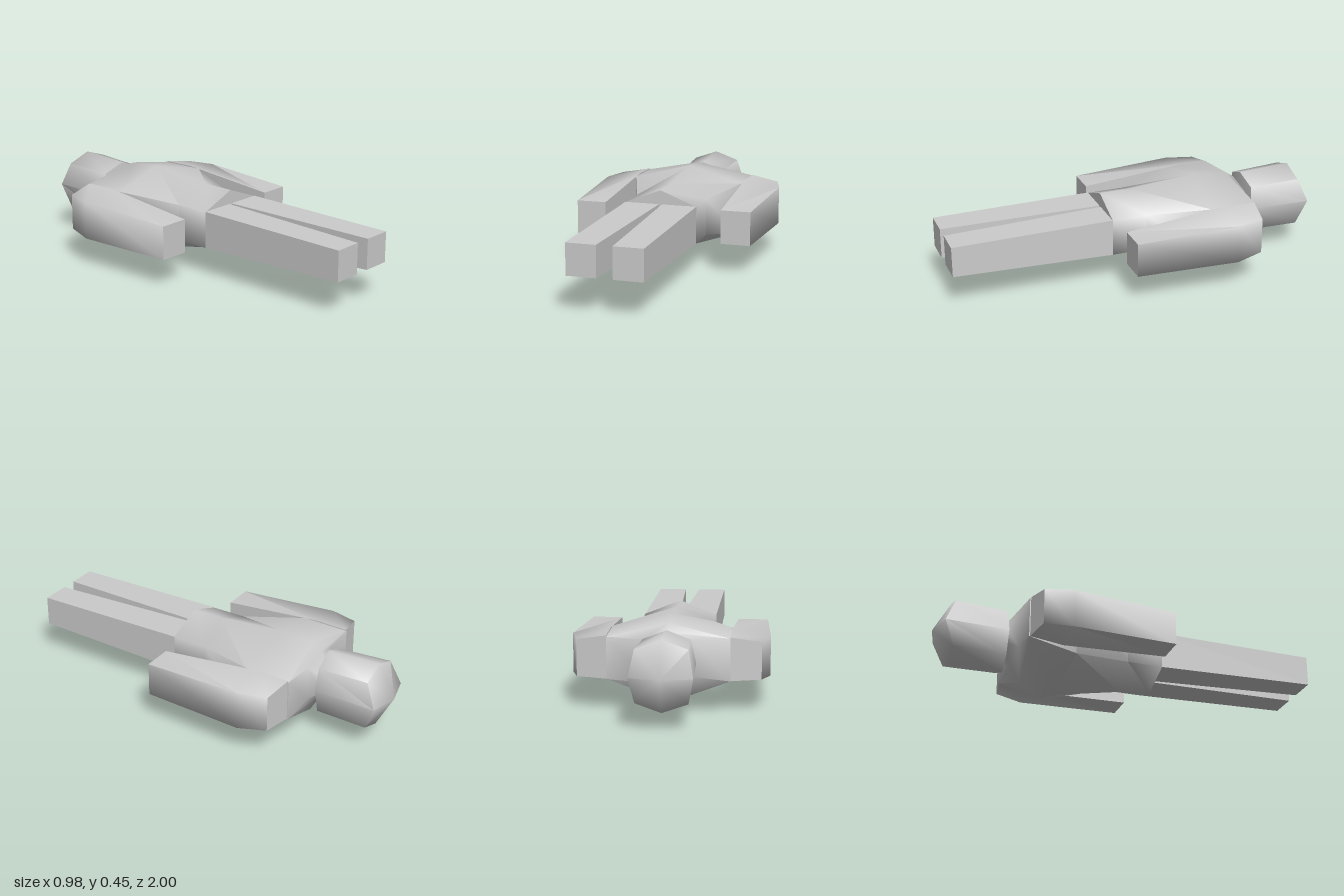
import * as THREE from 'three';
import { mergeGeometries, toCreasedNormals } from 'three/addons/utils/BufferGeometryUtils.js';

const material = new THREE.MeshStandardMaterial({ color: 0xcccccc });

// Non-indexed geometry from a list of triangles
function fromTriangles(tris) {
  const g = new THREE.BufferGeometry();
  g.setAttribute('position', new THREE.Float32BufferAttribute(tris.flat(2), 3));
  g.computeVertexNormals();
  return g;
}

// Skin rings (counter-clockwise seen from +z, running towards -z) and close both ends flat
function loft(name, rings, creaseDegrees) {
  const sides = [], caps = [];
  const n = rings[0].length;
  for (let i = 0; i < rings.length - 1; i++) {
    for (let j = 0; j < n; j++) {
      const k = (j + 1) % n;
      const [a, b, c, d] = [rings[i][j], rings[i][k], rings[i + 1][j], rings[i + 1][k]];
      sides.push([a, c, b], [b, c, d]);
    }
  }
  const first = rings[0], last = rings[rings.length - 1];
  for (let j = 1; j < n - 1; j++) {
    caps.push([first[0], first[j], first[j + 1]], [last[0], last[j + 1], last[j]]);
  }
  const skin = toCreasedNormals(fromTriangles(sides), THREE.MathUtils.degToRad(creaseDegrees));
  const mesh = new THREE.Mesh(mergeGeometries([skin, fromTriangles(caps)]), material);
  mesh.name = name;
  return mesh;
}

// Mirror rings in x, keeping their winding
const mirror = (rings) => rings.map((r) => r.map(([x, y, z]) => [-x, y, z]).reverse());

// Six-sided torso section: side edges at w, ridges along the middle
const torsoRing = (w, zSide, low, high, zMid, bottom, top) => [
  [w, low, zSide], [w, high, zSide], [0, top, zMid],
  [-w, high, zSide], [-w, low, zSide], [0, bottom, zMid],
];

// Eight-sided head section
const headRing = (wSide, zSide, wCorner, zCorner, low, high, zMid, bottom, top) => [
  [wSide, 0.26, zSide], [wCorner, high, zCorner], [0, top, zMid], [-wCorner, high, zCorner],
  [-wSide, 0.26, zSide], [-wCorner, low, zCorner], [0, bottom, zMid], [wCorner, low, zCorner],
];
const point = (y, z) => Array.from({ length: 8 }, () => [0, y, z]);

// Four-sided limb section with separate inner and outer heights
const limbRing = (xIn, zIn, lowIn, highIn, xOut, zOut, lowOut, highOut) => [
  [xIn, lowIn, zIn], [xOut, lowOut, zOut], [xOut, highOut, zOut], [xIn, highIn, zIn],
];

export function createModel() {
  const model = new THREE.Group();
  model.name = 'lyingFigure';

  // Torso from hips to neck
  model.add(loft('torso', [
    torsoRing(0.19, 0.165, 0.155, 0.345, 0.165, 0.085, 0.42),
    torsoRing(0.19, -0.02, 0.155, 0.345, 0, 0.07, 0.42),
    torsoRing(0.3, -0.33, 0.105, 0.375, -0.36, 0, 0.45),
    torsoRing(0.3, -0.575, 0.16, 0.37, -0.54, 0.045, 0.435),
    torsoRing(0.12, -0.58, 0.18, 0.36, -0.59, 0.14, 0.4),
    torsoRing(0.075, -0.645, 0.22, 0.31, -0.64, 0.19, 0.33),
  ], 70));

  // Head with pointed chin side and crown
  model.add(loft('head', [
    point(0.26, -0.615),
    headRing(0.14, -0.635, 0.115, -0.64, 0.13, 0.375, -0.63, 0.085, 0.418),
    headRing(0.15, -0.963, 0.125, -0.91, 0.13, 0.385, -0.908, 0.085, 0.43),
    point(0.26, -1),
  ], 75));

  const arm = [
    limbRing(0.31, 0.135, 0.155, 0.33, 0.465, 0.135, 0.155, 0.33),
    limbRing(0.3, -0.4, 0.138, 0.38, 0.49, -0.4, 0.152, 0.35),
    limbRing(0.3, -0.57, 0.16, 0.375, 0.45, -0.545, 0.165, 0.35),
  ];
  const leg = [
    limbRing(0.04, 1, 0.18, 0.338, 0.19, 1, 0.18, 0.338),
    limbRing(0.008, 0.165, 0.155, 0.347, 0.19, 0.165, 0.155, 0.347),
  ];
  model.add(
    loft('leftArm', arm, 89), loft('rightArm', mirror(arm), 89),
    loft('leftLeg', leg, 30), loft('rightLeg', mirror(leg), 30),
  );
  return model;
}
